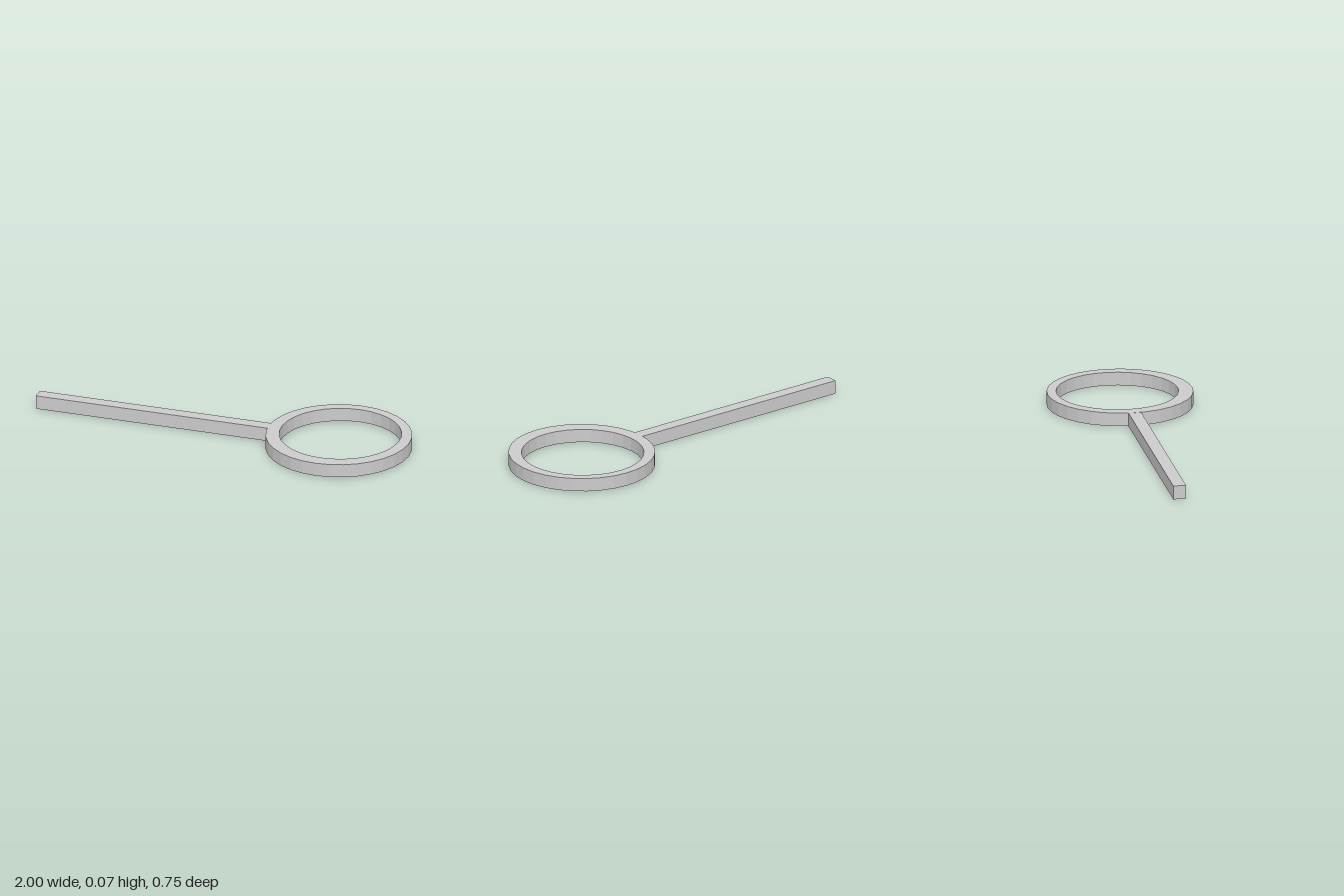
import * as THREE from 'three';

// Regular polygon outline; shape y maps to -z after the ring is laid flat
function circlePoints(cx, cy, r, sides) {
  return Array.from({ length: sides }, (_, i) => {
    const a = (i / sides) * Math.PI * 2;
    return new THREE.Vector2(cx + r * Math.cos(a), cy + r * Math.sin(a));
  });
}

export function createModel() {
  const group = new THREE.Group();
  const material = new THREE.MeshStandardMaterial({ color: 0xcccccc, flatShading: true });

  // Round frame with a slightly off-centre opening
  const outline = new THREE.Shape(circlePoints(0.624, 0, 0.376, 32));
  outline.holes.push(new THREE.Path(circlePoints(0.628, 0.013, 0.314, 32).reverse()));
  const ringGeometry = new THREE.ExtrudeGeometry(outline, { depth: 0.07, bevelEnabled: false });
  ringGeometry.rotateX(-Math.PI / 2);
  const ring = new THREE.Mesh(ringGeometry, material);
  ring.name = 'ring';
  ring.position.y = 0.003;
  group.add(ring);

  // Straight square bar running into the frame, set a touch lower
  const handleLength = 1.275;
  const handle = new THREE.Mesh(new THREE.BoxGeometry(handleLength, 0.072, 0.066), material);
  handle.name = 'handle';
  handle.position.set(-1 + handleLength / 2, 0.036, 0.008);
  group.add(handle);

  return group;
}
